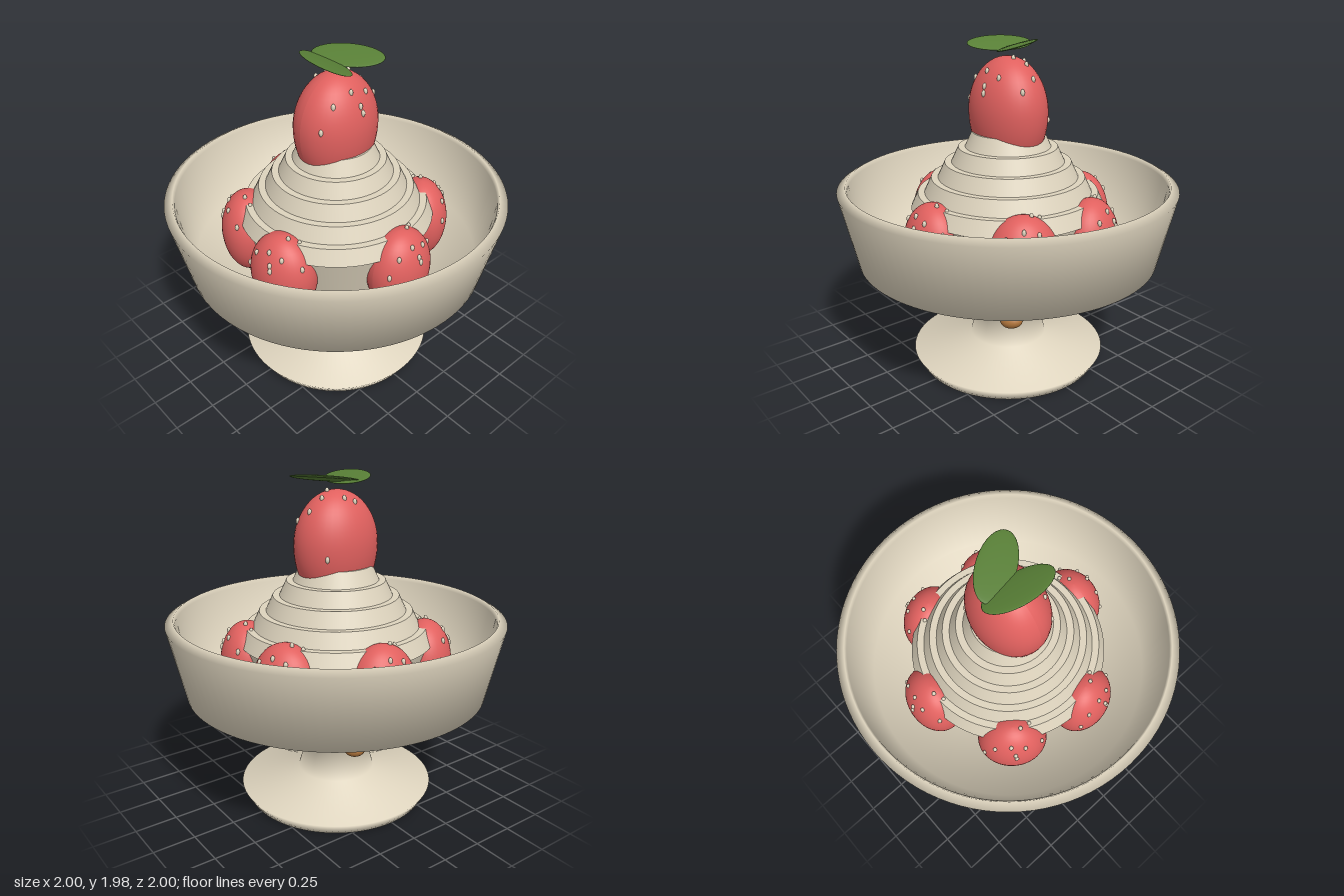
import * as THREE from 'three';

const mat = (name, color) => {
  const m = new THREE.MeshStandardMaterial({ color });
  m.name = name;
  return m;
};

export function createModel() {
  const root = new THREE.Group();
  root.name = 'sundae';
  const cream = mat('cream', 0xddd3bd);
  const red = mat('berryRed', 0xe0605e);
  const green = mat('leafGreen', 0x587f36);
  const brown = mat('nutBrown', 0xb0753c);

  const add = (parent, name, geometry, material, pos = [0, 0, 0], rot = [0, 0, 0], scale = [1, 1, 1]) => {
    const mesh = new THREE.Mesh(geometry, material);
    mesh.name = name;
    mesh.position.set(...pos);
    mesh.rotation.set(...rot);
    mesh.scale.set(...scale);
    parent.add(mesh);
    return mesh;
  };

  // Footed bowl: outside from the base up, over the rim and down the inside
  const profile = [
    [0, 0], [0.555, 0], [0.595, 0.07], [0.235, 0.155], [0.18, 0.34], [0.34, 0.42],
    [0.9, 0.7], [1, 1.14], [0.95, 1.168], [0.94, 1.14], [0.85, 0.74], [0.33, 0.48], [0, 0.47],
  ].map(([x, y]) => new THREE.Vector2(x, y));
  add(root, 'bowl', new THREE.LatheGeometry(profile, 96), cream);

  // Stepped swirl of cream, widest layer at the bottom
  const swirl = new THREE.Group();
  swirl.name = 'creamSwirl';
  root.add(swirl);
  const step = 0.09;
  for (let i = 0; i < 5; i++) {
    const top = 0.21 + 0.0815 * i;
    add(swirl, 'creamLayer', new THREE.CylinderGeometry(top, top + 0.042, step, 64), cream, [0, 1.41 - step * i, 0]);
  }
  add(swirl, 'creamCore', new THREE.CylinderGeometry(0.56, 0.42, 0.45, 64), cream, [0, 0.785, 0]);

  // Berry: an egg that is longer below its widest line
  const rx = 0.26, ry = 0.315, rz = 0.21;
  const berryGeo = new THREE.SphereGeometry(1, 40, 28);
  berryGeo.scale(rx, ry, rz);
  const p = berryGeo.attributes.position;
  for (let i = 0; i < p.count; i++) if (p.getY(i) < 0) p.setY(i, p.getY(i) * 1.15);
  berryGeo.computeVertexNormals();
  const seedGeo = new THREE.SphereGeometry(1, 10, 8);

  // Seeds as [angle from the front, height fraction]
  const seeds = [
    [-0.09, 0.76], [0.49, 0.68], [0.07, 0.52], [0.1, 0.4], [-0.97, 0.19], [1.19, 0.46], [1.7, 0.65],
    [1.9, 0.87], [3.0, 0.87], [1.4, 0.975], [2.41, -0.14], [3.4, 0.8], [-0.7, 0.6],
  ];
  const berry = (name, pos, turn, size) => {
    const g = new THREE.Group();
    g.name = name;
    g.position.set(...pos);
    g.rotation.y = turn;
    add(g, 'berryBody', berryGeo, red, [0, 0, 0], [0, 0, 0], [size, size, size]);
    for (const [a, t] of seeds) {
      const f = Math.sqrt(1 - t * t) * size;
      add(g, 'seed', seedGeo, cream, [Math.sin(a) * rx * f, t * ry * size, Math.cos(a) * rz * f],
        [0, 0, 0], [0.012, 0.02, 0.012]);
    }
    root.add(g);
  };
  berry('topBerry', [0, 1.57, 0], 0, 1);

  // Ring of smaller berries around the cream
  for (const deg of [0, 60, 113, 171.5, 231, 285]) {
    const a = THREE.MathUtils.degToRad(deg);
    berry('ringBerry', [Math.sin(a) * 0.53, 0.877, Math.cos(a) * 0.53], a, 0.78);
  }

  // Two leaves above the top berry
  const leafGeo = new THREE.SphereGeometry(1, 32, 16);
  for (const [x, turn, tilt] of [[-0.075, -0.13, -0.3], [0.085, 0.57, 0.25]]) {
    const leaf = add(root, 'leaf', leafGeo, green, [x, 1.95, 0], [0, turn, tilt], [0.103, 0.01, 0.205]);
    leaf.rotation.order = 'YXZ';
  }

  // Nuts showing through the underside of the bowl
  const nutGeo = new THREE.SphereGeometry(1, 20, 14);
  for (const [x, y, z, turn] of [
    [0.42, 0.497, 0.31, 0.5], [0.16, 0.475, 0.4, 0.2], [-0.42, 0.51, 0.24, -0.6],
    [-0.25, 0.5, -0.41, 0.4], [0.2, 0.505, -0.45, 0.1],
  ]) add(root, 'nut', nutGeo, brown, [x, y, z], [0, turn, 0.15], [0.066, 0.044, 0.055]);

  return root;
}
